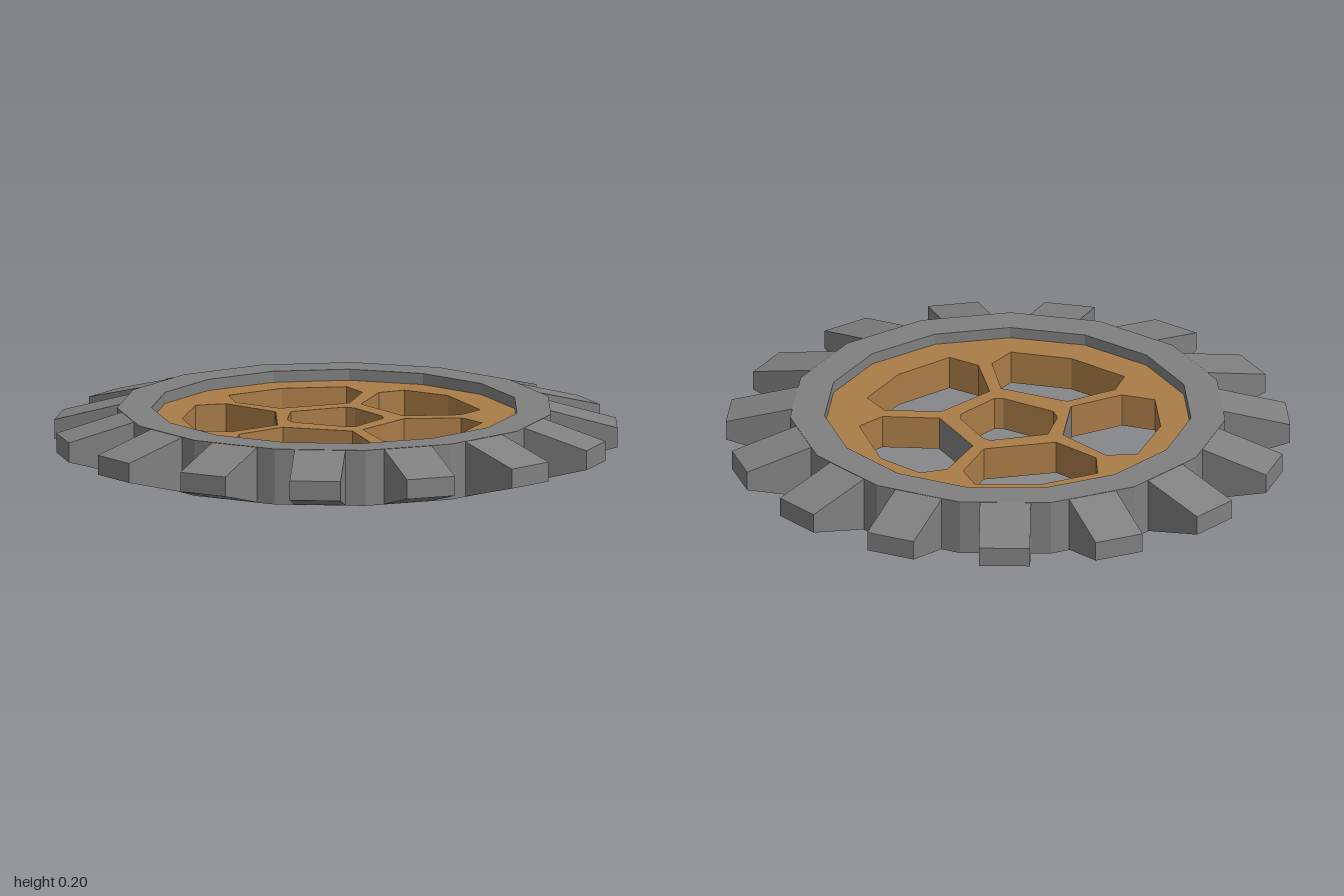
import * as THREE from 'three';

const HEIGHT = 0.2, WEB_LOW = 0.04, WEB_THICK = 0.12;
const SIDES = 15, STEP = (Math.PI * 2) / SIDES;
const TOOTH_START = THREE.MathUtils.degToRad(1);

// Openings of the web as [x, z] outlines
const hub = [[-0.1, -0.16], [0.11, -0.15], [0.13, -0.12], [0.16, 0.04], [0.15, 0.08],
  [0, 0.17], [-0.03, 0.16], [-0.17, 0.01], [-0.17, -0.04]];
const backHole = [[-0.21, -0.39], [-0.18, -0.51], [0.04, -0.54], [0.26, -0.47],
  [0.27, -0.36], [0.15, -0.21], [-0.11, -0.23]];
const rightHole = [[-0.36, -0.4], [-0.25, -0.38], [-0.15, -0.18], [-0.24, 0.03],
  [-0.44, 0.07], [-0.54, 0], [-0.5, -0.21]];
const frontRightHole = [[-0.24, 0.075], [-0.045, 0.24], [-0.07, 0.44], [-0.16, 0.51],
  [-0.35, 0.4], [-0.49, 0.21], [-0.43, 0.12]];
const frontLeftHole = [[0.21, 0.12], [0.4, 0.19], [0.43, 0.3], [0.27, 0.45],
  [0.06, 0.53], [-0.02, 0.44], [0, 0.23]];
const leftHole = [[0.18, -0.175], [0.32, -0.33], [0.42, -0.33], [0.52, -0.18],
  [0.52, 0.09], [0.42, 0.14], [0.23, 0.07]];

const toVectors = (points) => points.map(([x, z]) => new THREE.Vector2(x, -z));

// Regular outline with its corners halfway between the teeth
function ringPoints(radius) {
  return Array.from({ length: SIDES }, (_, i) => {
    const a = TOOTH_START + (i + 0.5) * STEP;
    return new THREE.Vector2(radius * Math.cos(a), radius * Math.sin(a));
  });
}

// Flat plate with holes, lying from y = low upwards
function plate(outline, holes, low, thickness) {
  const shape = new THREE.Shape(outline);
  shape.holes = holes.map((h) => new THREE.Path(h));
  return new THREE.ExtrudeGeometry(shape, { depth: thickness, bevelEnabled: false })
    .rotateX(-Math.PI / 2)
    .translate(0, low, 0);
}

export function createModel() {
  const group = new THREE.Group();
  const steel = new THREE.MeshStandardMaterial({ color: 0x808080, flatShading: true });
  const wood = new THREE.MeshStandardMaterial({ color: 0xa97c47, flatShading: true });
  const add = (name, geometry, material) => {
    const mesh = new THREE.Mesh(geometry, material);
    mesh.name = name;
    group.add(mesh);
    return mesh;
  };

  // Outer ring
  add('rim', plate(ringPoints(0.772), [ringPoints(0.65)], 0, HEIGHT), steel);

  // Recessed web with the hub opening and five gaps between the spokes
  const holes = [hub, backHole, rightHole, frontRightHole, frontLeftHole, leftHole];
  add('spokedWeb', plate(ringPoints(0.65), holes.map(toVectors), WEB_LOW, WEB_THICK), wood);

  // Steel facings on two outer walls of the hub
  const facings = [
    ['leftHubFacing', [0.18, -0.175], [0.23, 0.07]],
    ['rightHubFacing', [-0.24, 0.03], [-0.15, -0.18]],
  ];
  for (const [name, [ax, az], [bx, bz]] of facings) {
    const dx = bx - ax, dz = bz - az, length = Math.hypot(dx, dz);
    const facing = add(name, new THREE.PlaneGeometry(length, WEB_THICK), steel);
    facing.rotation.y = Math.atan2(dz, -dx);
    facing.position.set((ax + bx) / 2 + (0.002 * dz) / length, HEIGHT / 2,
      (az + bz) / 2 - (0.002 * dx) / length);
  }

  // Teeth tapering in height towards the tip
  const profile = new THREE.Shape([[0.75, 0], [0.992, 0.065], [0.992, 0.135], [0.75, HEIGHT]]
    .map(([r, y]) => new THREE.Vector2(r, y)));
  const toothGeometry = new THREE.ExtrudeGeometry(profile, { depth: 0.18, bevelEnabled: false })
    .translate(0, 0, -0.09);
  for (let i = 0; i < SIDES; i++) {
    add('tooth', toothGeometry, steel).rotation.y = TOOTH_START + i * STEP;
  }
  return group;
}
